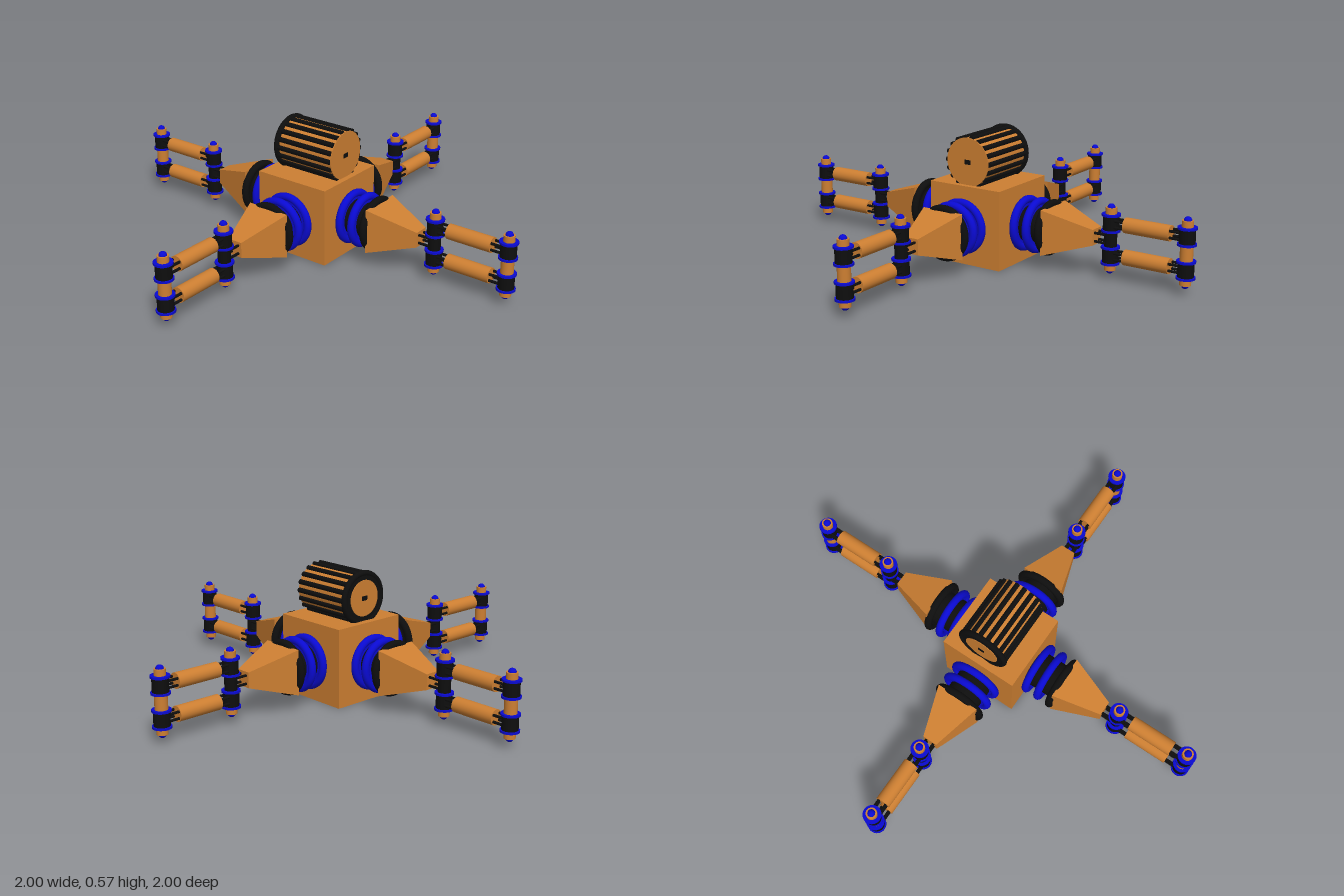
import * as THREE from 'three';

const flat = (name, color) => {
  const m = new THREE.MeshStandardMaterial({ color });
  m.name = name;
  return m;
};

export function createModel() {
  const bronze = flat('bronze', 0xcd7f32);
  const blue = flat('blue', 0x0a0ad2);
  const black = flat('black', 0x0e0e0e);
  const model = new THREE.Group();
  model.name = 'fourArmedRobot';

  const add = (parent, name, geo, mat, x = 0, y = 0, z = 0) => {
    const mesh = new THREE.Mesh(geo, mat);
    mesh.name = name;
    mesh.position.set(x, y, z);
    parent.add(mesh);
    return mesh;
  };
  // cylinders along each axis
  const cylY = (r, h, n = 24) => new THREE.CylinderGeometry(r, r, h, n);
  const cylX = (r, h, n) => cylY(r, h, n).rotateZ(-Math.PI / 2);
  const cylZ = (r, h, n) => cylY(r, h, n).rotateX(Math.PI / 2);

  // body
  add(model, 'body', new THREE.BoxGeometry(0.36, 0.35, 0.36), bronze, 0, 0.175, 0);

  // ribbed drum on top
  const drum = new THREE.Group();
  drum.name = 'drum';
  drum.position.y = 0.45;
  model.add(drum);
  add(drum, 'drumCore', cylZ(0.107, 0.29, 40), bronze, 0, 0, 0.01);
  const bars = 18;
  for (let i = 0; i < bars; i++) {
    const a = ((i + 0.5) / bars) * Math.PI * 2;
    add(drum, 'drumRib', cylZ(0.0115, 0.285, 10), black, Math.sin(a) * 0.106, Math.cos(a) * 0.106, 0.01);
  }
  add(drum, 'drumFrontCap', cylZ(0.106, 0.004, 40), bronze, 0, 0, 0.154);
  add(drum, 'drumRim', new THREE.TorusGeometry(0.108, 0.013, 12, 40), black, 0, 0, -0.137);
  add(drum, 'drumBackPlate', cylZ(0.11, 0.016, 40), black, 0, 0, -0.138);
  add(drum, 'drumBackCap', cylZ(0.08, 0.004, 40), bronze, 0, 0, -0.147);
  for (const z of [0.156, -0.149])
    add(drum, 'drumSlot', new THREE.BoxGeometry(0.03, 0.02, 0.003), black, 0, 0, z);

  // two by two bundle of thin rods along x
  const rods = (parent, x0, x1, y, s) => {
    for (const dy of [-s, s])
      for (const dz of [-0.018, 0.018])
        add(parent, 'rod', cylX(0.006, x1 - x0, 8), black, (x0 + x1) / 2, y + dy, dz);
  };

  // upright hinge post, mirrored about its middle
  const post = (parent, x, middle) => {
    const g = new THREE.Group();
    g.name = 'hingePost';
    g.position.x = x;
    parent.add(g);
    add(g, 'postCore', cylY(0.024, 0.27), bronze);
    add(g, 'postMiddle', cylY(0.027, 0.07), middle);
    for (const s of [-1, 1]) {
      add(g, 'postSleeve', cylY(0.034, 0.066), black, 0, s * 0.069, 0);
      for (const y of [0.036, 0.104])
        add(g, 'postWasher', cylY(0.04, 0.009), blue, 0, s * y, 0);
      add(g, 'postTip', new THREE.SphereGeometry(0.017, 16, 12), blue, 0, s * 0.134, 0);
    }
  };

  // arms, each built along +x and turned around the body
  for (let k = 0; k < 4; k++) {
    const arm = new THREE.Group();
    arm.name = 'arm';
    arm.position.y = 0.177;
    arm.rotation.y = (k * Math.PI) / 2;
    model.add(arm);

    // bellows neck
    add(arm, 'neck', cylX(0.08, 0.17, 32), black, 0.255, 0, 0);
    for (const [x, mat] of [[0.203, blue], [0.265, blue], [0.327, black]])
      add(arm, 'neckRing', new THREE.TorusGeometry(0.106, 0.017, 12, 40).rotateY(Math.PI / 2), mat, x, 0, 0);
    for (const [x, mat] of [[0.203, blue], [0.265, blue], [0.327, black]])
      add(arm, 'neckDisc', cylX(0.105, 0.016, 32), mat, x, 0, 0);

    // tapered square shoulder
    const taper = new THREE.CylinderGeometry(0.034 * Math.SQRT2, 0.1 * Math.SQRT2, 0.215, 4)
      .rotateY(Math.PI / 4).rotateZ(-Math.PI / 2).toNonIndexed();
    taper.computeVertexNormals();
    add(arm, 'shoulder', taper, bronze, 0.4425, 0, 0);

    // wrist, posts and paired links
    rods(arm, 0.545, 0.615, 0, 0.018);
    post(arm, 0.616, black);
    post(arm, 0.958, bronze);
    for (const y of [-0.069, 0.069]) {
      rods(arm, 0.616, 0.958, y, 0.014);
      add(arm, 'link', cylX(0.033, 0.205), bronze, 0.786, y, 0);
    }
  }
  return model;
}
